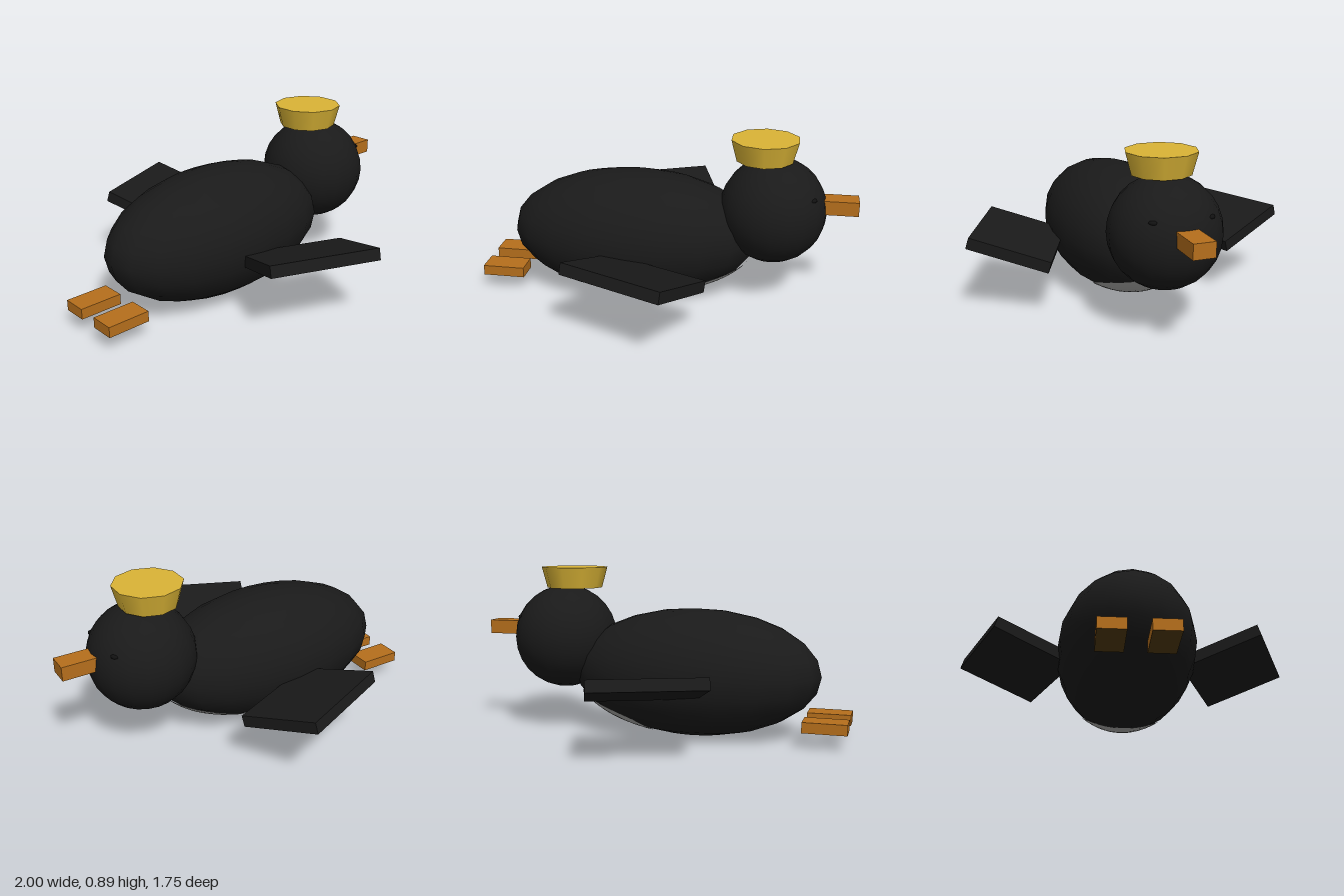
import * as THREE from 'three';

function material(name, color) {
  const m = new THREE.MeshStandardMaterial({ color });
  m.name = name;
  return m;
}

export function createModel() {
  const group = new THREE.Group();
  const black = material('black feathers', 0x1a1a1a);
  const pale = material('pale belly', 0xaaaaa8);
  const orange = material('orange', 0xb66f1c);
  const sole = material('dark brown soles', 0x523a0c);
  const gold = material('gold', 0xdab436);
  const eyeBlack = material('eye black', 0x111111);

  const add = (name, geometry, mat, x, y, z) => {
    const mesh = new THREE.Mesh(geometry, mat);
    mesh.name = name;
    mesh.position.set(x, y, z);
    group.add(mesh);
    return mesh;
  };

  // Body lying along x
  const radii = new THREE.Vector3(0.67, 0.338, 0.356);
  add('body', new THREE.SphereGeometry(1, 20, 12).scale(radii.x, radii.y, radii.z), black, -0.18, 0.34, 0);

  // Pale breast patch: an oval with drooping sides, wrapped over the lower front of the body
  const patch = new THREE.RingGeometry(0, 1, 32, 6);
  const p = patch.attributes.position;
  const rad = THREE.MathUtils.degToRad;
  for (let i = 0; i < p.count; i++) {
    const a = rad(-48 + 28 * p.getX(i) - 5 * p.getY(i) ** 2);
    const b = rad(37 * p.getY(i));
    p.setXYZ(i,
      Math.cos(b) * Math.cos(a) * radii.x * 1.008,
      Math.cos(b) * Math.sin(a) * radii.y * 1.008,
      Math.sin(b) * radii.z * 1.008);
  }
  patch.computeVertexNormals();
  add('bellyPatch', patch, pale, -0.18, 0.34, 0);

  // Head, beak and flared hat
  add('head', new THREE.SphereGeometry(0.281, 20, 14), black, 0.561, 0.507, 0);
  add('beak', new THREE.BoxGeometry(0.22, 0.075, 0.11), orange, 0.89, 0.55, 0);
  add('hat', new THREE.CylinderGeometry(0.18, 0.15, 0.113, 10), gold, 0.507, 0.8335, 0);

  // Paired eyes, wings and feet; the feet have dark undersides
  const footMaterials = [orange, orange, orange, sole, orange, orange];
  for (const s of [1, -1]) {
    const side = s > 0 ? 'Right' : 'Left';
    const eye = add('eye' + side, new THREE.SphereGeometry(0.025, 8, 6), eyeBlack, 0.758, 0.621, s * 0.139);
    eye.scale.y = 0.5;
    const wing = add('wing' + side, new THREE.BoxGeometry(0.565, 0.06, 0.43), black, -0.08, 0.336, s * 0.567);
    wing.rotation.set(-s * 0.29, -s * 0.4, 0, 'YXZ');
    add('foot' + side, new THREE.BoxGeometry(0.226, 0.055, 0.128), footMaterials, -0.887, 0.113, s * 0.116);
  }
  return group;
}
